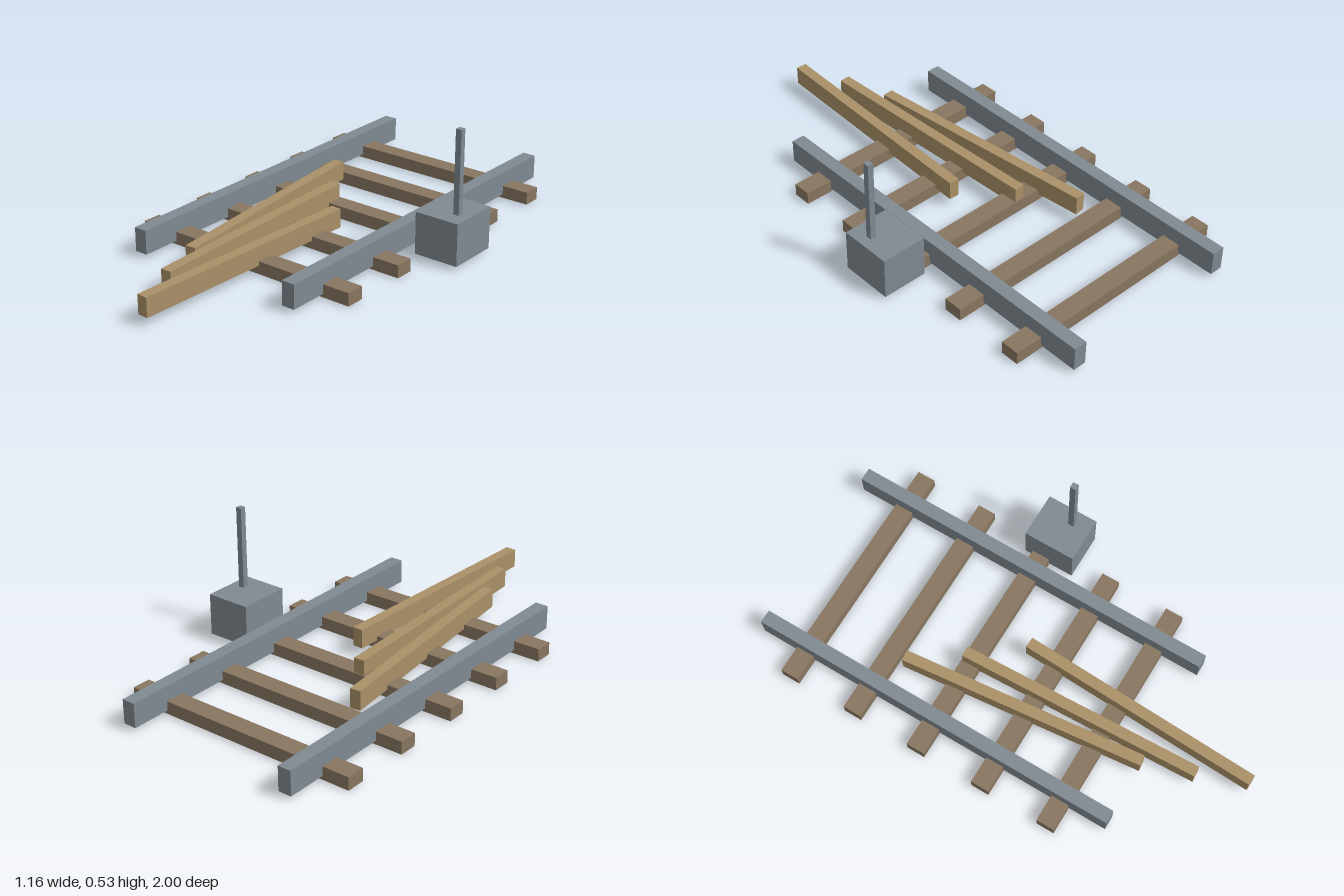
import * as THREE from 'three';

const steel = new THREE.MeshStandardMaterial({ color: 0x808a92 });
steel.name = 'steel grey';
const darkWood = new THREE.MeshStandardMaterial({ color: 0x887660 });
darkWood.name = 'weathered wood';
const lightWood = new THREE.MeshStandardMaterial({ color: 0xaa9068 });
lightWood.name = 'fresh wood';

// Box from its size, centre and base height
function box(name, material, [w, h, d], [x, base, z], turn = 0) {
  const mesh = new THREE.Mesh(new THREE.BoxGeometry(w, h, d), material);
  mesh.name = name;
  mesh.position.set(x, base + h / 2, z);
  mesh.rotation.y = turn;
  return mesh;
}

export function createModel() {
  const model = new THREE.Group();
  model.name = 'railTrack';

  // Sleepers
  for (let i = 0; i < 5; i++) {
    model.add(box('sleeper', darkWood, [1.025, 0.053, 0.078], [-0.067, 0, 0.396 - i * 0.298]));
  }

  // Rails, notched over the sleepers
  for (const x of [-0.437, 0.3]) {
    model.add(box('rail', steel, [0.056, 0.1, 1.6], [x, 0.015, -0.2]));
  }

  // Loose planks lying across the track
  const planks = [
    [-0.2325, 0.083, 0.107],
    [-0.1285, 0.283, 0.041],
    [-0.0065, 0.483, -0.041],
  ];
  for (const [x, z, turn] of planks) {
    model.add(box('plank', lightWood, [0.045, 0.08, 1.033], [x, 0.035, z], turn));
  }

  // Switch box with its lever
  const lever = new THREE.Group();
  lever.name = 'switchStand';
  lever.add(box('switchBox', steel, [0.192, 0.175, 0.22], [0.481, 0.015, -0.163]));
  lever.add(box('leverPost', steel, [0.025, 0.355, 0.025], [0.522, 0.18, -0.134]));
  model.add(lever);

  return model;
}
